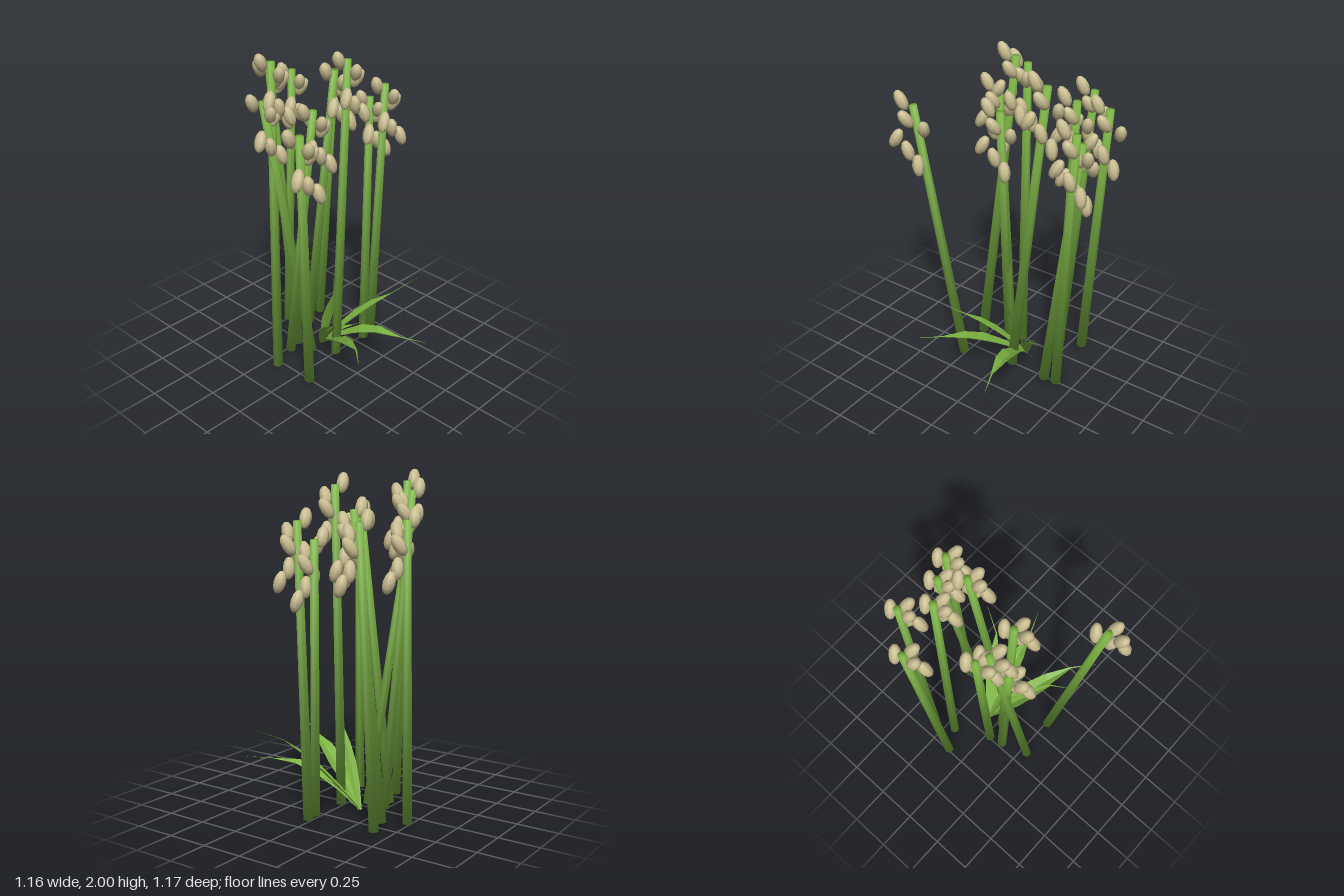
import * as THREE from 'three';

const UP = new THREE.Vector3(0, 1, 0);
const V = (x, y, z) => new THREE.Vector3(x, y, z);

const stemGreen = new THREE.MeshStandardMaterial({ color: 0x7cb342 });
stemGreen.name = 'stem green';
const leafGreen = new THREE.MeshStandardMaterial({ color: 0x7cb342, side: THREE.DoubleSide });
leafGreen.name = 'leaf green';
const seedTan = new THREE.MeshStandardMaterial({ color: 0xcbbf92 });
seedTan.name = 'seed tan';

// Each stalk: base x, base z, top x, top y, top z
const STALKS = [
  [-0.26, 0.09, -0.46, 1.75, 0.24],
  [-0.12, -0.22, -0.07, 1.7, -0.05],
  [0.06, 0.01, 0.23, 1.92, -0.07],
  [0.31, 0.02, 0.45, 1.63, -0.09],
  [0.39, 0.01, 0.47, 1.73, 0.01],
  [0.19, -0.36, 0.31, 1.79, -0.25],
  [0.33, -0.4, 0.45, 1.73, -0.38],
  [0.12, -0.49, 0.25, 1.74, -0.55],
  [-0.03, -0.24, -0.1, 1.89, -0.37],
  [-0.29, -0.16, -0.14, 1.94, -0.31],
  [-0.03, -0.12, -0.24, 1.74, -0.28],
];

// Six seeds around each stalk tip: offset from the tip, then long-axis direction
const SEEDS = [
  [V(-0.08, 0.01, 0.005), V(-0.5, 1, 0.15)],
  [V(0, -0.065, 0.065), V(-0.4, 1, 0.55)],
  [V(0.075, -0.13, 0.005), V(0.35, 1, 0.5)],
  [V(-0.08, -0.2, 0.065), V(0.5, 1, -0.2)],
  [V(0, -0.26, 0.06), V(-0.3, 1, 0.15)],
  [V(0.075, -0.33, 0.065), V(-0.25, 1, -0.2)],
];

// Leaf blades: kink where the blade narrows, tip of its thread, upward bow, half width
const BLADES = [
  [V(0.2, 0.265, 0.42), V(0.265, 0.265, 0.58), 1.4, 0.055],
  [V(-0.18, 0.36, 0.4), V(-0.29, 0.375, 0.52), 0.7, 0.055],
  [V(-0.17, 0.42, 0.2), V(-0.29, 0.47, 0.255), 0.4, 0.045],
  [V(0.33, 0.44, 0.23), V(0.48, 0.52, 0.31), 0.4, 0.045],
  [V(0.01, 0.5, 0.04), V(-0.03, 0.64, 0.07), 0.2, 0.035],
  [V(0.17, 0.2, 0.06), V(0.26, 0.19, 0.07), 0.6, 0.025],
];

// Six-sided tapered stalk with rounded normals that flow into the end caps
function stalkGeometry(length) {
  const g = new THREE.CylinderGeometry(0.024, 0.031, length, 6);
  const p = g.attributes.position;
  for (let i = 0; i < p.count; i++) {
    const n = V(p.getX(i), 0, p.getZ(i)).normalize();
    n.y = Math.sign(p.getY(i)) * 0.8;
    n.normalize();
    g.attributes.normal.setXYZ(i, n.x, n.y, n.z);
  }
  return g;
}

// Folded blade: left edge, keel and right edge swept from the root to a thread-thin tip
function bladeGeometry(root, kink, tip, bow, halfWidth) {
  const heading = tip.clone().sub(root).setY(0).normalize();
  const side = V(heading.z, 0, -heading.x);
  const widths = [0.25, 0.7, 1, 0.75, 0.1, 0.015];
  const stations = [0, 0.22, 0.48, 0.72, 1].map((t) => {
    const c = root.clone().lerp(kink, t);
    c.y += (kink.y - root.y) * bow * t * (1 - t);
    return c;
  });
  stations.push(tip);
  const verts = [];
  const index = [];
  stations.forEach((c, i) => {
    const w = widths[i] * halfWidth;
    for (const s of [-1, 0, 1]) {
      const q = c.clone().addScaledVector(side, s * w);
      if (s === 0) q.y -= w * 0.5;
      verts.push(q.x, q.y, q.z);
    }
    if (i === 0) return;
    for (let k = 0; k < 2; k++) {
      const a = (i - 1) * 3 + k;
      const b = i * 3 + k;
      index.push(a, b, a + 1, b, b + 1, a + 1);
    }
  });
  // wind the faces so that they look upwards
  for (let i = 0; i < index.length; i += 3) {
    const [a, b, c] = [0, 1, 2].map((k) => V(...verts.slice(index[i + k] * 3, index[i + k] * 3 + 3)));
    if (b.sub(a).cross(c.sub(a)).y < 0) [index[i], index[i + 1]] = [index[i + 1], index[i]];
  }
  const g = new THREE.BufferGeometry();
  g.setAttribute('position', new THREE.Float32BufferAttribute(verts, 3));
  g.setIndex(index);
  const flat = g.toNonIndexed();
  flat.computeVertexNormals();
  return flat;
}

export function createModel() {
  const model = new THREE.Group();
  model.name = 'seedingPlant';

  const seedGeometry = new THREE.SphereGeometry(1, 7, 6);
  seedGeometry.scale(0.036, 0.064, 0.036);

  // Stalks with their seed heads
  STALKS.forEach(([bx, bz, tx, ty, tz], i) => {
    const plant = new THREE.Group();
    plant.name = `seedStalk${i + 1}`;
    const base = V(bx, 0.02, bz);
    const top = V(tx, ty, tz);
    const axis = top.clone().sub(base);
    const stalk = new THREE.Mesh(stalkGeometry(axis.length()), stemGreen);
    stalk.name = 'stalk';
    stalk.position.copy(base).lerp(top, 0.5);
    stalk.quaternion.setFromUnitVectors(UP, axis.normalize());
    plant.add(stalk);
    for (const [offset, dir] of SEEDS) {
      const seed = new THREE.Mesh(seedGeometry, seedTan);
      seed.name = 'seed';
      seed.position.copy(top).add(offset);
      seed.quaternion.setFromUnitVectors(UP, dir.clone().normalize());
      plant.add(seed);
    }
    model.add(plant);
  });

  // Tuft of leaves fanning forward from one root
  const tuft = new THREE.Group();
  tuft.name = 'leafTuft';
  const root = V(0.075, 0.015, -0.135);
  for (const [kink, tip, bow, halfWidth] of BLADES) {
    const blade = new THREE.Mesh(bladeGeometry(root, kink, tip, bow, halfWidth), leafGreen);
    blade.name = 'leafBlade';
    tuft.add(blade);
  }
  model.add(tuft);
  return model;
}
